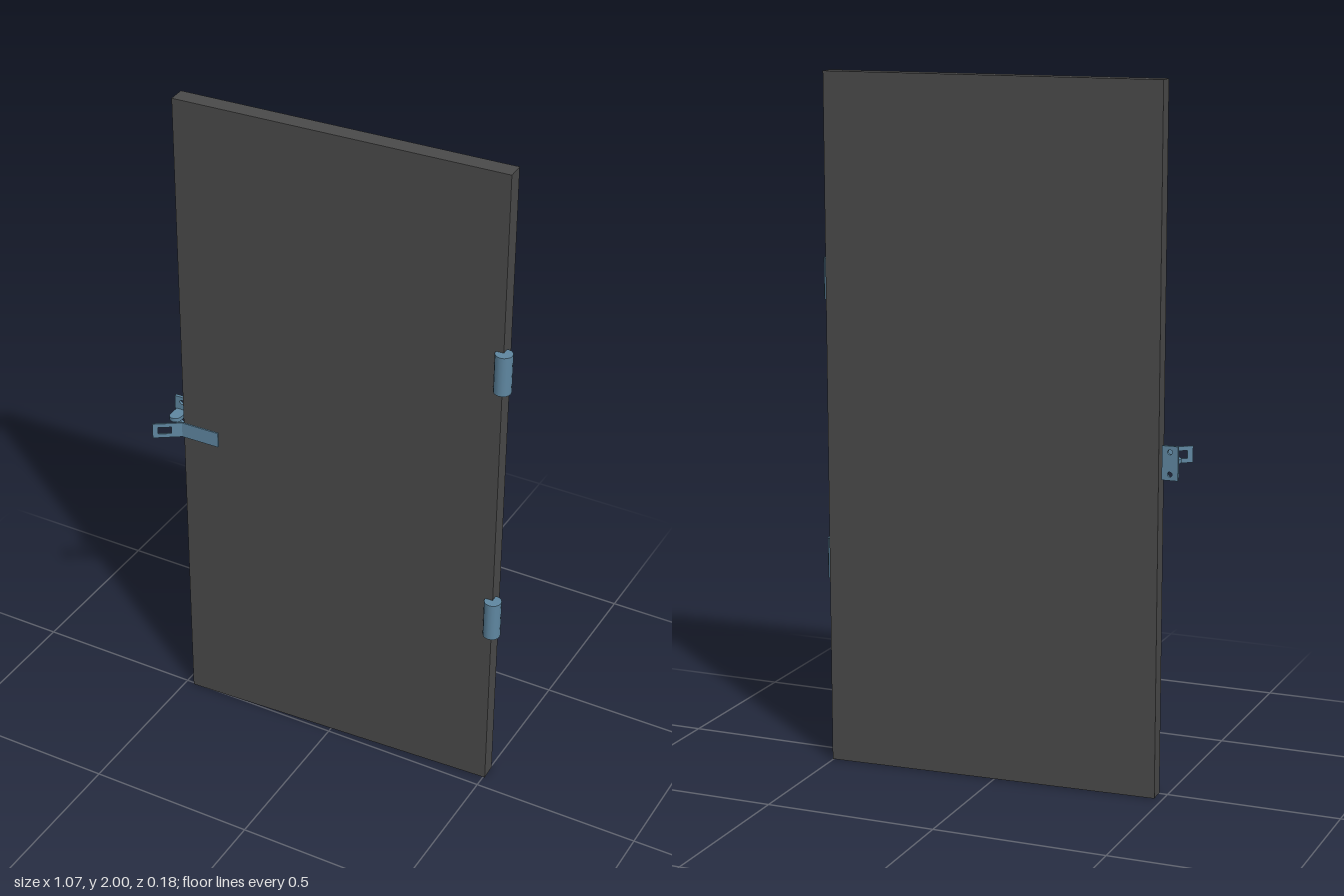
import * as THREE from 'three';

const doorMat = new THREE.MeshStandardMaterial({ color: 0x4a4a4a });
const metalMat = new THREE.MeshStandardMaterial({ color: 0x5f87a1 });

function add(parent, name, geometry, material, x, y, z) {
  const mesh = new THREE.Mesh(geometry, material);
  mesh.name = name;
  mesh.position.set(x, y, z);
  parent.add(mesh);
  return mesh;
}

// Rectangle path used for plates and their slots
function rect(PathType, x0, y0, x1, y1) {
  return new PathType([[x0, y0], [x1, y0], [x1, y1], [x0, y1]].map(([x, y]) => new THREE.Vector2(x, y)));
}

// Flat extrusion centred on its thickness
function plate(shape, depth) {
  return new THREE.ExtrudeGeometry(shape, { depth, bevelEnabled: false, curveSegments: 8 })
    .translate(0, 0, -depth / 2);
}

export function createModel() {
  const group = new THREE.Group();
  group.name = 'door';

  // Door leaf, slightly ajar
  const leaf = add(group, 'doorLeaf', new THREE.BoxGeometry(0.98, 2, 0.051), doorMat, 0.0145, 1, -0.042);
  leaf.rotation.y = 0.046;

  // Hinge barrels
  for (const [name, y] of [['upperHinge', 1.414], ['lowerHinge', 0.597]]) {
    add(group, name, new THREE.CylinderGeometry(0.025, 0.025, 0.119, 16), metalMat, 0.507, y, -0.037);
  }

  // Hasp: straight strap and bent, slotted end
  const hasp = new THREE.Group();
  hasp.name = 'hasp';
  hasp.position.set(-0.46, 0.967, 0.036);
  group.add(hasp);
  const strap = add(hasp, 'haspStrap', new THREE.BoxGeometry(0.119, 0.047, 0.005), metalMat, 0.059, 0, -0.001);
  strap.rotation.y = 0.02;
  const slotted = rect(THREE.Shape, -0.086, -0.0235, 0.001, 0.0235);
  slotted.holes.push(rect(THREE.Path, -0.07, -0.011, -0.032, 0.011));
  const slottedEnd = add(hasp, 'haspSlottedEnd', plate(slotted, 0.005), metalMat, 0, 0, 0);
  slottedEnd.rotation.y = 0.59;

  // Staple: screw plate with round-nosed tongue
  const staple = new THREE.Group();
  staple.name = 'staple';
  staple.position.set(-0.511, 0.967, -0.0485);
  group.add(staple);
  const base = rect(THREE.Shape, -0.023, -0.048, 0.023, 0.048);
  for (const y of [-0.031, 0.031]) {
    base.holes.push(new THREE.Path().absarc(0, y, 0.007, 0, Math.PI * 2, true));
  }
  add(staple, 'staplePlate', plate(base, 0.009), metalMat, 0, 0, 0);
  const tongue = new THREE.Shape();
  tongue.moveTo(-0.018, 0);
  tongue.lineTo(0.018, 0);
  tongue.lineTo(0.018, 0.039);
  tongue.absarc(0, 0.039, 0.018, 0, Math.PI, false);
  tongue.closePath();
  const nose = add(staple, 'stapleTongue', plate(tongue, 0.012), metalMat, 0, 0, 0);
  nose.rotation.x = Math.PI / 2;

  return group;
}
